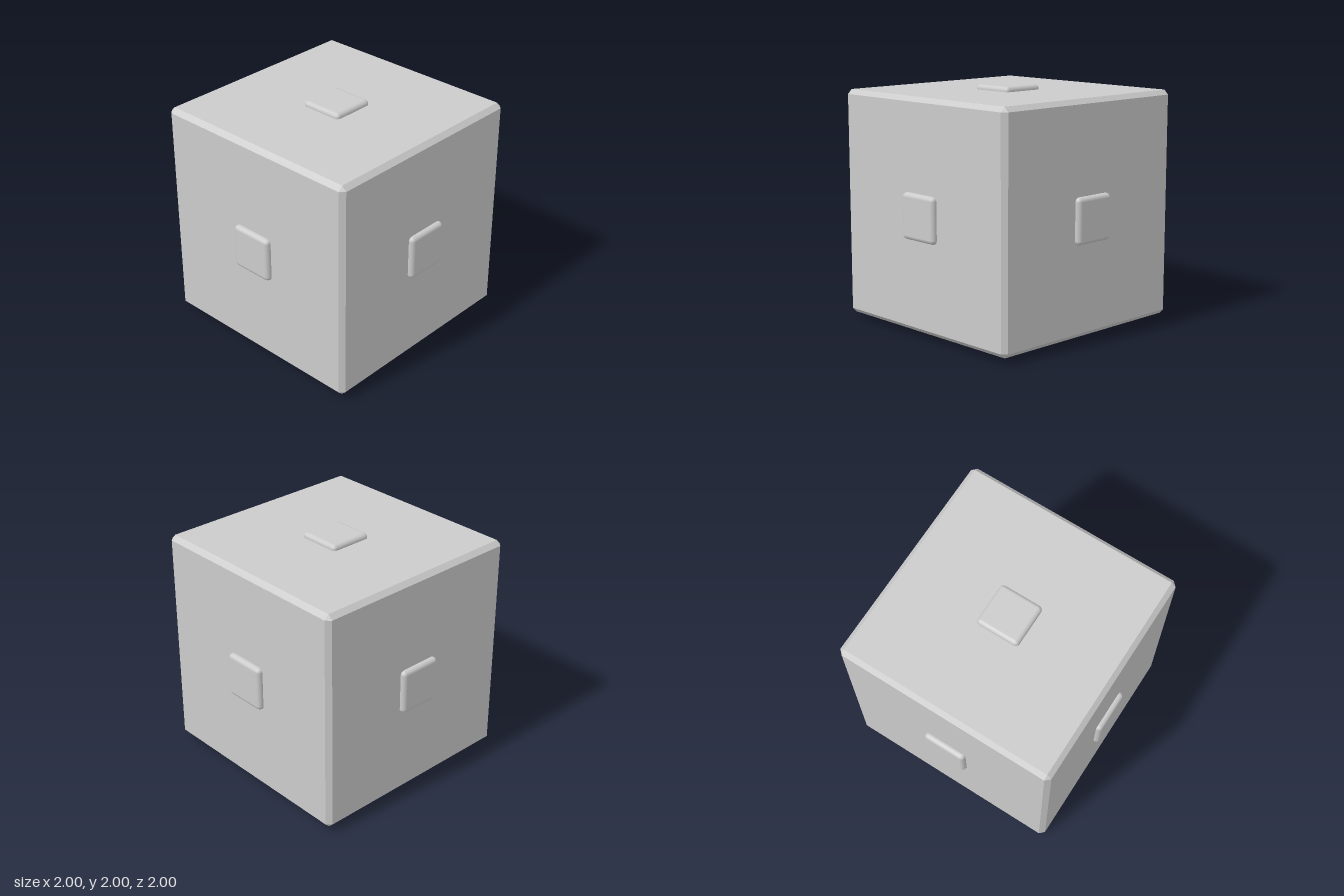
import * as THREE from 'three';
import { ConvexGeometry } from 'three/addons/geometries/ConvexGeometry.js';
import { RoundedBoxGeometry } from 'three/addons/geometries/RoundedBoxGeometry.js';

const HALF = 0.957;     // half width of the cube
const CHAMFER = 0.039;
const PAD = 0.382;      // width of each raised pad
const PAD_DEPTH = 0.12; // most of it is sunk into the cube

// Cube with flat chamfered edges and cut corners
function chamferedCube(half, chamfer) {
  const inner = half - chamfer;
  const points = [];
  for (const x of [-1, 1]) for (const y of [-1, 1]) for (const z of [-1, 1]) {
    points.push(
      new THREE.Vector3(x * half, y * inner, z * inner),
      new THREE.Vector3(x * inner, y * half, z * inner),
      new THREE.Vector3(x * inner, y * inner, z * half)
    );
  }
  return new ConvexGeometry(points);
}

export function createModel() {
  const model = new THREE.Group();
  model.name = 'cubeWithPads';
  const material = new THREE.MeshStandardMaterial({ color: 0xcccccc });

  const body = new THREE.Mesh(chamferedCube(HALF, CHAMFER), material);
  body.name = 'cubeBody';
  body.position.y = 1;
  model.add(body);

  // One rounded pad in the middle of every face
  const padGeometry = new RoundedBoxGeometry(PAD, PAD, PAD_DEPTH, 2, 0.036);
  const faces = {
    front: [0, 0, 1], back: [0, 0, -1],
    left: [1, 0, 0], right: [-1, 0, 0],
    top: [0, 1, 0], bottom: [0, -1, 0]
  };
  const forward = new THREE.Vector3(0, 0, 1);
  for (const [side, direction] of Object.entries(faces)) {
    const normal = new THREE.Vector3(...direction);
    const pad = new THREE.Mesh(padGeometry, material);
    pad.name = side + 'Pad';
    pad.quaternion.setFromUnitVectors(forward, normal);
    pad.position.copy(normal).multiplyScalar(1 - PAD_DEPTH / 2);
    pad.position.y += 1;
    model.add(pad);
  }
  return model;
}
